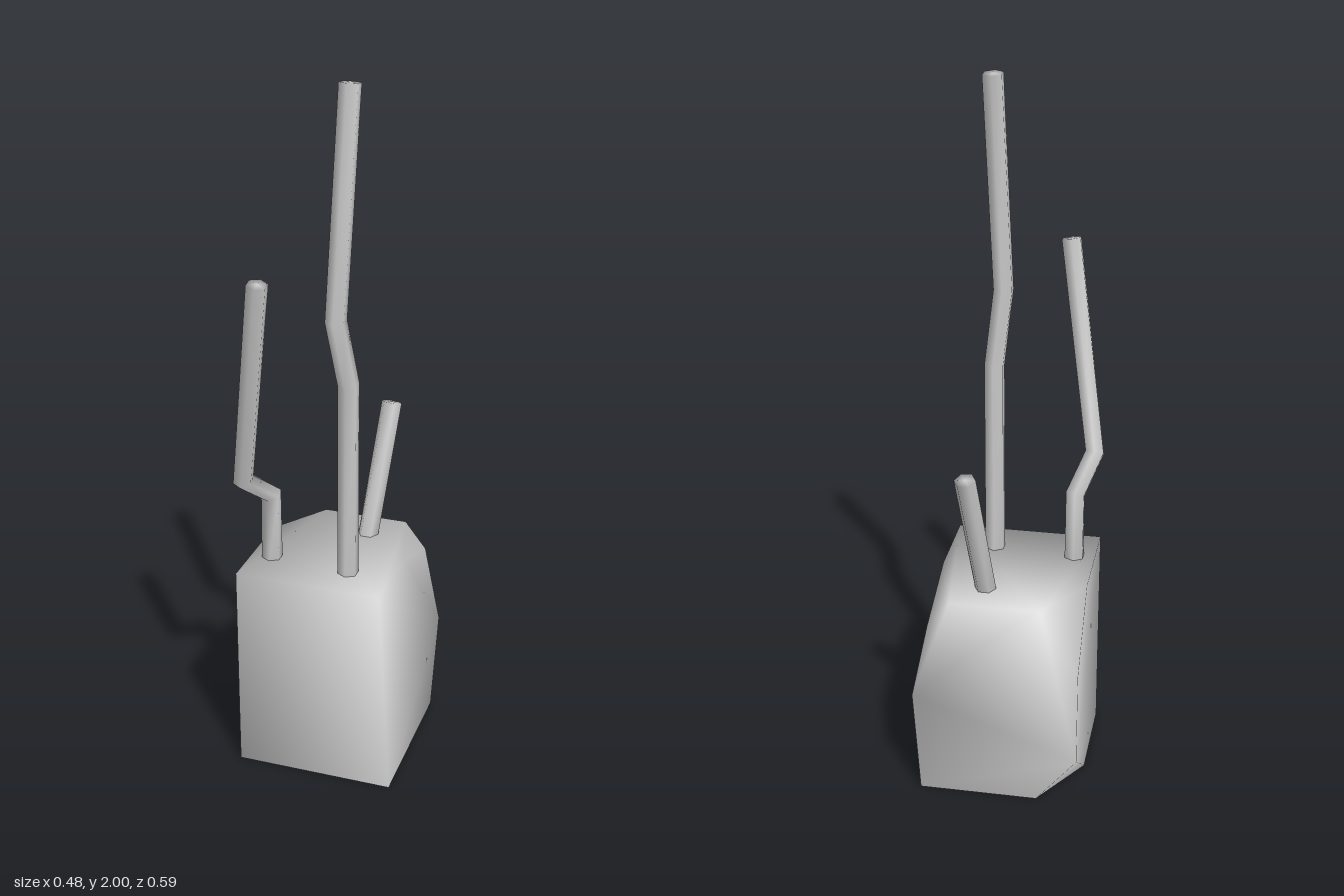
import * as THREE from 'three';
import { mergeVertices } from 'three/addons/utils/BufferGeometryUtils.js';
import { ConvexGeometry } from 'three/addons/geometries/ConvexGeometry.js';

const v = (x, y, z) => new THREE.Vector3(x, y, z);
const material = new THREE.MeshStandardMaterial({ color: 0xcccccc });

// Weld corners and smooth the shading across them
function smooth(geometry) {
  geometry.deleteAttribute('uv');
  geometry.deleteAttribute('normal');
  const welded = mergeVertices(geometry, 1e-4);
  welded.computeVertexNormals();
  return welded;
}

// Straight segments with a ring exactly at every bend, mitred along the bisector
class BentPath extends THREE.Curve {
  constructor(points) {
    super();
    this.points = points;
  }
  getPointAt(u) {
    return this.points[Math.round(u * (this.points.length - 1))].clone();
  }
  getTangentAt(u) {
    const p = this.points, i = Math.round(u * (p.length - 1));
    const t = v(0, 0, 0);
    if (i > 0) t.add(p[i].clone().sub(p[i - 1]).normalize());
    if (i < p.length - 1) t.add(p[i + 1].clone().sub(p[i]).normalize());
    return t.normalize();
  }
}

// Six-sided rod; an extra ring past each end is drawn in to the end's centre as a cap
function rod(name, points, radius = 0.03) {
  const start = points[0], end = points[points.length - 1];
  const beyond = (a, b) => a.clone().multiplyScalar(2).sub(b);
  const path = [beyond(start, points[1]), ...points, beyond(end, points[points.length - 2])];
  const sides = 6, last = path.length - 1;
  const geometry = new THREE.TubeGeometry(new BentPath(path), last, radius, sides, false);
  const position = geometry.attributes.position;
  for (const [ring, centre] of [[0, start], [last, end]]) {
    for (let j = 0; j <= sides; j++) {
      position.setXYZ(ring * (sides + 1) + j, centre.x, centre.y, centre.z);
    }
  }
  const mesh = new THREE.Mesh(smooth(geometry), material);
  mesh.name = name;
  return mesh;
}

// Irregular block with its back corners cut away
function block() {
  const geometry = new ConvexGeometry([
    // base outline
    v(-0.23, 0, 0.195), v(0.227, 0, 0.195), v(0.222, 0, -0.263), v(-0.115, 0, -0.263), v(-0.23, 0, -0.08),
    // back corners
    v(-0.23, 0.14, -0.263), v(-0.23, 0.42, -0.263), v(0.241, 0.31, -0.263), v(0.193, 0.54, -0.263),
    // top outline
    v(-0.23, 0.62, 0.195), v(0.193, 0.62, 0.195), v(0.193, 0.62, -0.04), v(0.13, 0.62, -0.263),
    v(-0.12, 0.62, -0.263), v(-0.23, 0.62, -0.1),
  ]);
  // Mark the underside so that welding leaves a sharp edge around it
  const normal = geometry.attributes.normal;
  const underside = Array.from({ length: normal.count }, (_, i) => (normal.getY(i) < -0.99 ? 1 : 0));
  geometry.setAttribute('underside', new THREE.Float32BufferAttribute(underside, 1));
  const mesh = new THREE.Mesh(smooth(geometry), material);
  mesh.name = 'block';
  return mesh;
}

export function createModel() {
  const group = new THREE.Group();
  group.name = 'blockWithRods';
  group.add(
    block(),
    rod('tallRod', [v(0.065, 0.6, 0.085), v(0.065, 1.19, 0.085), v(0.05, 1.39, 0.145), v(0.065, 1.997, 0.08)]),
    rod('bentRod', [v(-0.17, 0.6, 0.065), v(-0.17, 0.82, 0.065), v(-0.21, 0.905, 0.17), v(-0.12, 1.51, 0.265)]),
    rod('shortRod', [v(0.045, 0.6, -0.155), v(0.08, 1.0, -0.267)]),
  );
  return group;
}
